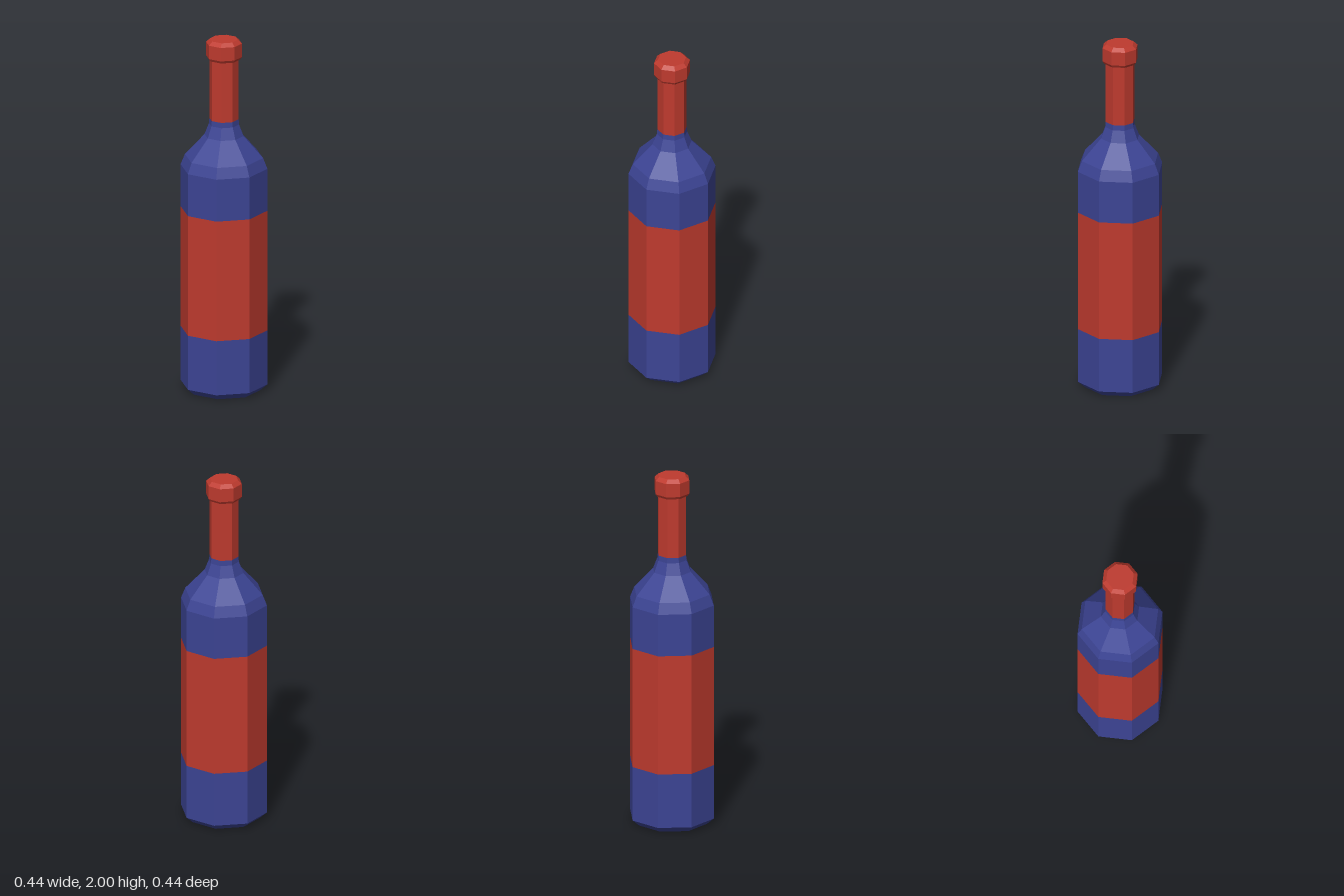
import * as THREE from 'three';

const SIDES = 8;
// Profile radii are measured to the flat sides; the lathe needs corner radii.
const TO_CORNER = 1 / Math.cos(Math.PI / SIDES);

const glass = new THREE.MeshStandardMaterial({ color: 0x3c4494, flatShading: true });
const red = new THREE.MeshStandardMaterial({ color: 0xbe3a2e, flatShading: true });

// Octagonal ring or solid turned from [radius, height] pairs, bottom to top
function turned(name, material, profile) {
  const points = profile.map(([r, y]) => new THREE.Vector2(r * TO_CORNER, y));
  const geometry = new THREE.LatheGeometry(points, SIDES, Math.PI / SIDES);
  const mesh = new THREE.Mesh(geometry, material);
  mesh.name = name;
  return mesh;
}

export function createModel() {
  const bottle = new THREE.Group();
  bottle.name = 'bottle';

  bottle.add(
    // Closed base with a chamfered foot
    turned('base', glass, [[0, 0], [0.185, 0], [0.222, 0.035], [0.222, 0.345]]),
    // Label band, flush with the glass
    turned('label', red, [[0.222, 0.345], [0.222, 1.03]]),
    // Upper body, sloping shoulder and start of the neck
    turned('shoulder', glass, [
      [0.222, 1.03], [0.222, 1.27], [0.2, 1.33], [0.1, 1.45], [0.077, 1.515], [0.075, 1.545],
    ]),
    // Foil sleeve around the neck
    turned('neckFoil', red, [[0.075, 1.545], [0.075, 1.888]]),
    // Chamfered cap at the mouth
    turned('cap', red, [
      [0.075, 1.888], [0.083, 1.888], [0.092, 1.903], [0.092, 1.98], [0.072, 2], [0, 2],
    ]),
  );
  return bottle;
}
